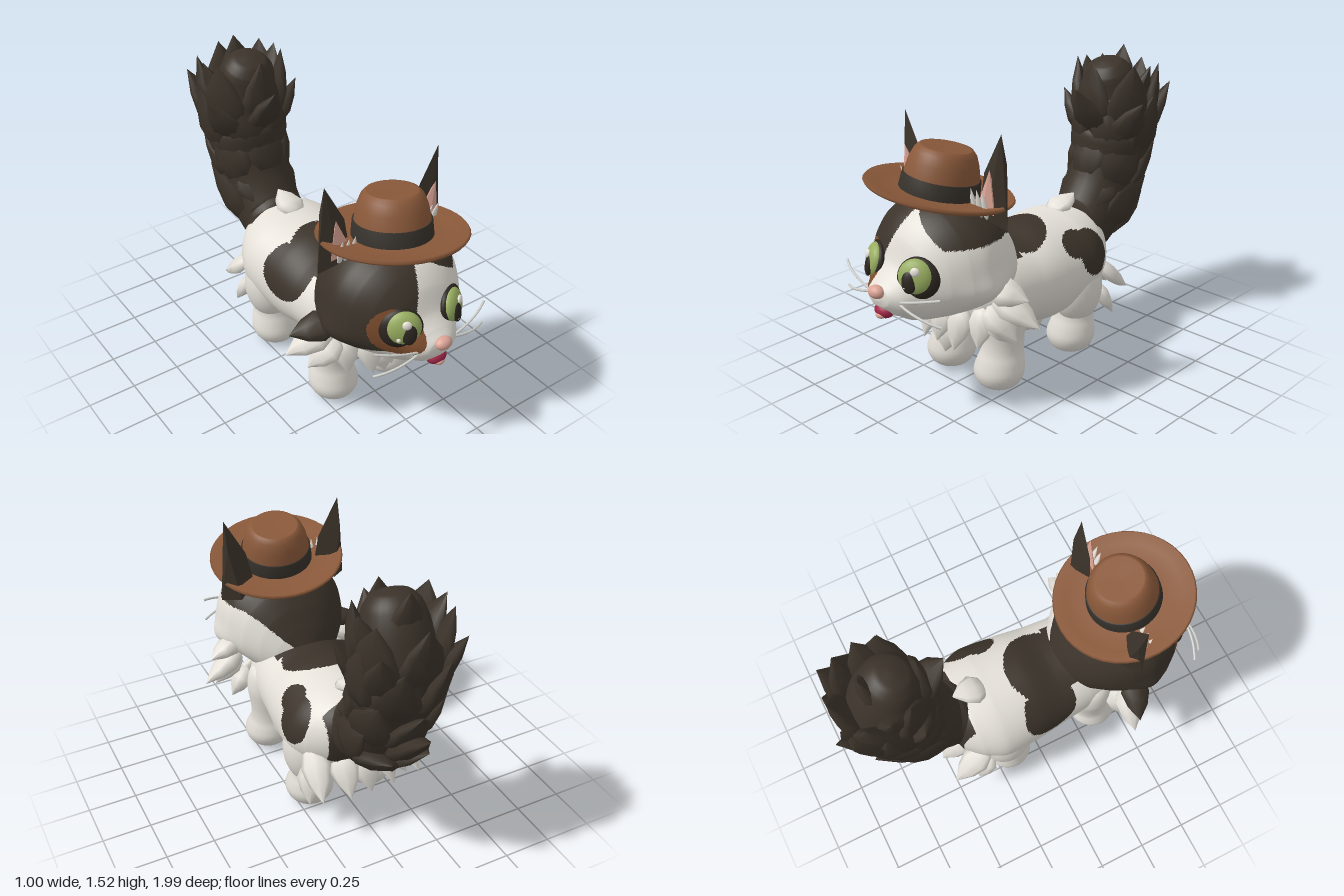
import * as THREE from 'three';
import { ConvexGeometry } from 'three/addons/geometries/ConvexGeometry.js';

const V = (x, y, z) => new THREE.Vector3(x, y, z);
const mat = (name, color) => Object.assign(new THREE.MeshStandardMaterial({ color }), { name });
const inside = (a, b, ra, rb) => (a / ra) ** 2 + (b / rb) ** 2 < 1;

export function createModel() {
  const white = mat('white fur', 0xe4e0d8), dark = mat('dark fur', 0x3b332a), brown = mat('brown fur', 0x7a4b2c);
  const felt = mat('hat felt', 0x8a593a), band = mat('hat band', 0x37322c), pink = mat('pink skin', 0xdca496);
  const red = mat('mouth red', 0xa32749), green = mat('iris green', 0x98ad60), black = mat('pupil', 0x2b251f);
  const grey = mat('whisker grey', 0xd2d2ce);
  const coat = [white, dark, brown];
  const model = new THREE.Group();
  model.name = 'catWithHat';

  const add = (name, geometry, material, parent = model) => {
    const m = new THREE.Mesh(geometry, material);
    m.name = name;
    parent.add(m);
    return m;
  };
  const group = (name, parent = model) => {
    const g = new THREE.Group();
    g.name = name;
    parent.add(g);
    return g;
  };

  // Surface through elliptical sections [z, y, rx, ry]
  const sweep = (sections, tilt) => {
    const centre = new THREE.CatmullRomCurve3(sections.map(s => V(0, s[1], s[0])));
    const radius = new THREE.CatmullRomCurve3(sections.map(s => V(s[2], s[3], 0)));
    return (u, a) => {
      const c = centre.getPoint(u), r = radius.getPoint(u);
      const t = tilt ? centre.getTangent(u) : V(0, 0, 1);
      const n = V(r.x * Math.cos(a), r.y * Math.sin(a) * t.z, -r.y * Math.sin(a) * t.y);
      return { point: c.add(n), normal: n.clone().normalize(), tangent: t };
    };
  };
  // Closed skin over a sweep; paint picks a coat colour for each face
  const loft = (at, nu, nv, paint = () => 0, warp = p => p) => {
    const pts = [], faces = coat.map(() => []);
    for (let i = 0; i <= nu; i++)
      for (let j = 0; j < nv; j++) pts.push(warp(at(i / nu, j / nv * Math.PI * 2).point));
    for (const i of [0, nu])
      pts.push(at(i / nu, 0).point.add(at(i / nu, Math.PI).point).multiplyScalar(0.5));
    const face = (a, b, c) => {
      const mid = V(0, 0, 0).add(pts[a]).add(pts[b]).add(pts[c]).divideScalar(3);
      faces[paint(mid)].push(a, b, c);
    };
    for (let j = 0; j < nv; j++) {
      const k = (j + 1) % nv, e = nu * nv;
      for (let i = 0; i < nu; i++) {
        const r = i * nv, s = r + nv;
        face(r + j, r + k, s + j);
        face(r + k, s + k, s + j);
      }
      face(e + nv, k, j);
      face(e + nv + 1, e + j, e + k);
    }
    const g = new THREE.BufferGeometry().setFromPoints(pts);
    g.setIndex(faces.flat());
    let start = 0;
    faces.forEach((f, i) => { g.addGroup(start, f.length, i); start += f.length; });
    g.computeVertexNormals();
    return g;
  };

  // Pointed leaf of fur
  const leaf = new THREE.LatheGeometry(
    [[0, 0], [0.7, 0.1], [1, 0.36], [0.72, 0.66], [0, 1]].map(p => new THREE.Vector2(...p)), 8);
  const tuft = (parent, material, base, tip, out, width, thick = width * 0.55) => {
    const y = tip.clone().sub(base), yn = y.clone().normalize();
    const z = out.clone().addScaledVector(yn, -out.dot(yn)).normalize();
    const x = yn.clone().cross(z);
    const m = add('furTuft', leaf, material, parent);
    m.matrix.makeBasis(x.multiplyScalar(width), y, z.multiplyScalar(thick)).setPosition(base);
    m.matrix.decompose(m.position, m.quaternion, m.scale);
  };
  const ball = (name, parent, material, p, r) => {
    const m = add(name, new THREE.SphereGeometry(1, 28, 20), material, parent);
    m.position.set(...p);
    m.scale.set(...r);
    return m;
  };

  // Body with saddle, flank and rump patches
  const bodyPaint = ({ x, y, z }) => {
    if (y > 0.5 && inside(x + 0.02, z - 0.1, 0.2, 0.18)) return 1;
    if (x < -0.16 && inside(z - 0.06, y - 0.6, 0.15, 0.14)) return 1;
    if (z > 0.2 && y > 0.64) return 1;
    if (x > 0 && (inside(z + 0.13, y - 0.625, 0.095, 0.06) || inside(z + 0.215, y - 0.565, 0.105, 0.11))) return 1;
    return z < -0.345 && y > 0.42 && Math.abs(x) < 0.19 ? 1 : 0;
  };
  add('body', loft(sweep([[-0.46, 0.52, 0.07, 0.07], [-0.42, 0.52, 0.19, 0.17], [-0.33, 0.5, 0.27, 0.225],
    [-0.2, 0.475, 0.315, 0.26], [0, 0.46, 0.3, 0.27], [0.15, 0.46, 0.28, 0.235], [0.3, 0.465, 0.265, 0.23],
    [0.42, 0.47, 0.24, 0.205], [0.5, 0.47, 0.18, 0.15], [0.55, 0.47, 0.07, 0.06]]), 150, 150, bodyPaint), coat);

  // Head with dark cap, dark right cheek and brown eye patch
  const headPaint = ({ x, y, z }) => {
    if (z > 0.6 && inside(x + 0.17, y - 0.715, 0.105, 0.112)) return 2;
    if (x > 0) {
      const edge = z > 0.45 ? Math.max(0.855, 1 - 0.65 * x) : 0.855 - 0.156 * ((0.45 - z) / 0.23) ** 2;
      return y > edge ? 1 : 0;
    }
    if (z > 0.6 && x > (y - 1) * 0.33) return 0;
    return y > 0.57 + Math.max(0, x + 0.3) * (z > 0.6 ? 0.4 : 0) ? 1 : 0;
  };
  const cheeks = p => {
    p.x *= 1 + 0.15 * Math.exp(-(((p.y - 0.62) / 0.085) ** 2) - ((p.z - 0.58) / 0.17) ** 2);
    return p;
  };
  add('head', loft(sweep([[0.2, 0.62, 0.08, 0.07], [0.24, 0.63, 0.16, 0.14], [0.3, 0.66, 0.23, 0.21],
    [0.38, 0.7, 0.29, 0.26], [0.48, 0.735, 0.332, 0.285], [0.58, 0.74, 0.345, 0.29], [0.68, 0.73, 0.318, 0.275],
    [0.76, 0.71, 0.268, 0.245], [0.82, 0.68, 0.213, 0.2], [0.87, 0.64, 0.16, 0.125], [0.92, 0.625, 0.12, 0.085],
    [0.955, 0.63, 0.07, 0.045], [0.965, 0.63, 0.02, 0.015]]), 160, 160, headPaint, cheeks), coat);

  // Legs with round paws, and haunches
  const legProfile = new THREE.SplineCurve([[0, 0], [0.06, 0.006], [0.105, 0.035], [0.127, 0.09], [0.118, 0.15],
    [0.104, 0.2], [0.102, 0.26], [0.11, 0.33], [0.118, 0.42], [0.09, 0.52], [0, 0.56]].map(p => new THREE.Vector2(...p)));
  const legGeometry = new THREE.LatheGeometry(legProfile.getPoints(36).map(p => p.set(Math.max(0, p.x), Math.max(0, p.y))), 32);
  const lp = legGeometry.attributes.position;
  for (let i = 0; i < lp.count; i++) lp.setZ(i, lp.getZ(i) + 0.035 * (1 - THREE.MathUtils.smoothstep(lp.getY(i), 0.08, 0.25)));
  for (const s of [-1, 1]) {
    add('frontLeg', legGeometry, white).position.set(s * 0.172, 0, 0.335);
    add('hindLeg', legGeometry, white).position.set(s * 0.175, 0, -0.2);
    ball('haunch', model, white, [s * 0.19, 0.36, -0.19], [0.13, 0.2, 0.14]);
  }

  // Eyes, looking outward and a little up
  for (const s of [-1, 1]) {
    const eye = group('eye');
    eye.position.set(s * 0.142, 0.732, 0.838);
    eye.lookAt(eye.position.clone().add(V(s * 0.5, 0.2, 0.85)));
    ball('eyeRim', eye, black, [s * 0.004, -0.002, 0], [0.103, 0.098, 0.042]);
    ball('iris', eye, green, [-s * 0.006, 0.006, 0.014], [0.084, 0.082, 0.042]);
    ball('pupil', eye, black, [-s * 0.028, -0.014, 0.042], [0.036, 0.054, 0.019]);
    ball('eyeGlint', eye, white, [0.008 - s * 0.008, 0.034, 0.052], [0.022, 0.021, 0.012]);
    ball('smallGlint', eye, white, [-0.032 - s * 0.012, -0.04, 0.048], [0.01, 0.01, 0.008]);
  }

  // Nose, mouth, tongue and whiskers
  ball('nose', model, pink, [0, 0.66, 0.965], [0.044, 0.031, 0.033]);
  ball('mouth', model, red, [0, 0.557, 0.925], [0.053, 0.036, 0.04]);
  ball('tongue', model, pink, [0, 0.541, 0.948], [0.028, 0.017, 0.022]);
  for (const s of [-1, 1])
    for (const [my, ty] of [[0.665, 0.69], [0.585, 0.56]]) {
      const path = new THREE.QuadraticBezierCurve3(V(s * 0.09, 0.62, 0.92), V(s * 0.22, my, 0.935), V(s * 0.325, ty, 0.875));
      add('whisker', new THREE.TubeGeometry(path, 10, 0.0065, 6), grey);
    }

  // Ears with pink lining and tufts
  for (const s of [-1, 1]) {
    const ear = group('ear');
    const hull = pts => new ConvexGeometry(pts.map(p => V(s * p[0], p[1], p[2])));
    add('earShell', hull([[0.17, 0.97, 0.48], [0.355, 0.905, 0.49], [0.27, 0.92, 0.42], [0.21, 1.15, 0.49],
      [0.26, 0.95, 0.53], [0.32, 1.2, 0.455], [0.32, 1.35, 0.49]]), dark, ear);
    add('earLining', hull([[0.19, 1, 0.515], [0.31, 0.98, 0.53], [0.285, 1.19, 0.53],
      [0.25, 1, 0.545], [0.27, 1.1, 0.49]]), pink, ear);
    for (const x of [0.195, 0.23, 0.265])
      tuft(ear, white, V(s * x, 0.95, 0.53), V(s * (x + 0.01), 1.1, 0.57), V(0, 0, 1), 0.019);
  }

  // Hat
  const hat = group('hat');
  hat.position.set(0, 1.03, 0.575);
  hat.rotation.set(-0.17, 0, -0.09);
  const lathe = (name, material, pts) =>
    add(name, new THREE.LatheGeometry(pts.map(p => new THREE.Vector2(...p)), 40), material, hat);
  lathe('brim', felt, [[0, -0.015], [0.2, -0.015], [0.29, -0.01], [0.345, 0.008], [0.354, 0.02], [0.345, 0.032],
    [0.29, 0.014], [0.2, 0.008], [0, 0.008]]);
  lathe('crown', felt, [[0.184, 0], [0.177, 0.08], [0.163, 0.15], [0.145, 0.195], [0.125, 0.217], [0.115, 0.218], [0, 0.214]]);
  lathe('hatBand', band, [[0.184, 0.008], [0.19, 0.01], [0.183, 0.082], [0.175, 0.084]]);

  // Cheek, chest, rump and belly fur
  const ruff = group('cheekRuff'), bib = group('chestFur'), rump = group('rumpFur');
  for (const s of [-1, 1]) {
    const p = a => V(s * a[0], a[1], a[2]);
    [[[0.27, 0.62, 0.52], [s < 0 ? 0.49 : 0.45, 0.58, 0.45]], [[0.27, 0.57, 0.49], [0.5, 0.45, 0.43]],
      [[0.26, 0.52, 0.53], [0.42, 0.385, 0.5]], [[0.24, 0.46, 0.47], [0.35, 0.32, 0.44]]]
      .forEach(([a, b], i) => tuft(ruff, s < 0 && i === 0 ? dark : white, p(a), p(b), V(s * 0.4, 1, 0.3), 0.085, 0.055));
    [[[0.1, 0.47, 0.54], [0.105, 0.26, 0.61]], [[0.2, 0.48, 0.5], [0.22, 0.29, 0.56]]]
      .forEach(([a, b]) => tuft(bib, white, p(a), p(b), V(s * 0.3, 0, 1), 0.07));
    [[[0.23, 0.46, -0.31], [0.27, 0.27, -0.52]], [[0.11, 0.44, -0.38], [0.12, 0.25, -0.53]],
      [[0.22, 0.35, -0.3], [0.28, 0.16, -0.39]]]
      .forEach(([a, b]) => tuft(rump, white, p(a), p(b), V(s * 0.5, 0.2, -1), 0.075));
    tuft(rump, white, V(s * 0.2, 0.29, 0.2), V(s * 0.22, 0.235, 0.12), V(s, -1, 0), 0.03);
  }
  tuft(bib, white, V(0, 0.38, 0.53), V(0, 0.2, 0.57), V(0, 0, 1), 0.085);
  tuft(bib, white, V(0, 0.48, 0.56), V(0, 0.28, 0.62), V(0, 0, 1), 0.08);
  tuft(rump, white, V(0, 0.43, -0.42), V(0, 0.24, -0.52), V(0, 0, -1), 0.075);
  tuft(rump, white, V(0, 0.72, -0.2), V(0, 0.78, -0.38), V(0, 1, 0), 0.08, 0.035);

  // Tail: core, broad overlapping leaves, then the outer points
  const tail = group('tail');
  const tailAt = sweep([[-0.34, 0.58, 0.17, 0.15], [-0.45, 0.6, 0.175, 0.18], [-0.57, 0.74, 0.185, 0.185],
    [-0.65, 0.92, 0.195, 0.19], [-0.69, 1.1, 0.195, 0.19], [-0.67, 1.27, 0.17, 0.165],
    [-0.63, 1.4, 0.13, 0.125], [-0.615, 1.445, 0.085, 0.08], [-0.61, 1.46, 0.02, 0.02]], true);
  add('tailCore', loft(tailAt, 40, 28), dark, tail);
  [0.14, 0.27, 0.4, 0.49].forEach((u, row) => {
    for (let k = 0; k < 6; k++) {
      const { point, normal, tangent } = tailAt(u, (k + row % 2 / 2) * Math.PI / 3);
      point.addScaledVector(normal, -0.035);
      const tip = point.clone().addScaledVector(tangent, 0.36).addScaledVector(normal, 0.05);
      tuft(tail, dark, point, tip, normal, 0.12, 0.05);
    }
  });
  const spike = (a, b, w = 0.1) => {
    const base = V(...a), tip = V(...b);
    tuft(tail, dark, base, tip, V(base.x, 0, base.z + 0.66), w, 0.05);
  };
  spike([0, 1.22, -0.73], [0, 1.52, -0.77]);
  spike([0, 1.08, -0.55], [0, 1.34, -0.38]);
  spike([0, 0.98, -0.81], [0, 1.29, -0.92]);
  spike([0, 0.63, -0.7], [0, 0.89, -0.99]);
  for (const s of [-1, 1]) {
    spike([s * 0.11, 1.15, -0.68], [s * 0.215, 1.44, -0.72]);
    spike([s * 0.11, 1.03, -0.79], [s * 0.21, 1.33, -0.91]);
    spike([s * 0.12, 1.04, -0.59], [s * 0.27, 1.27, -0.6], 0.09);
  }
  return model;
}
